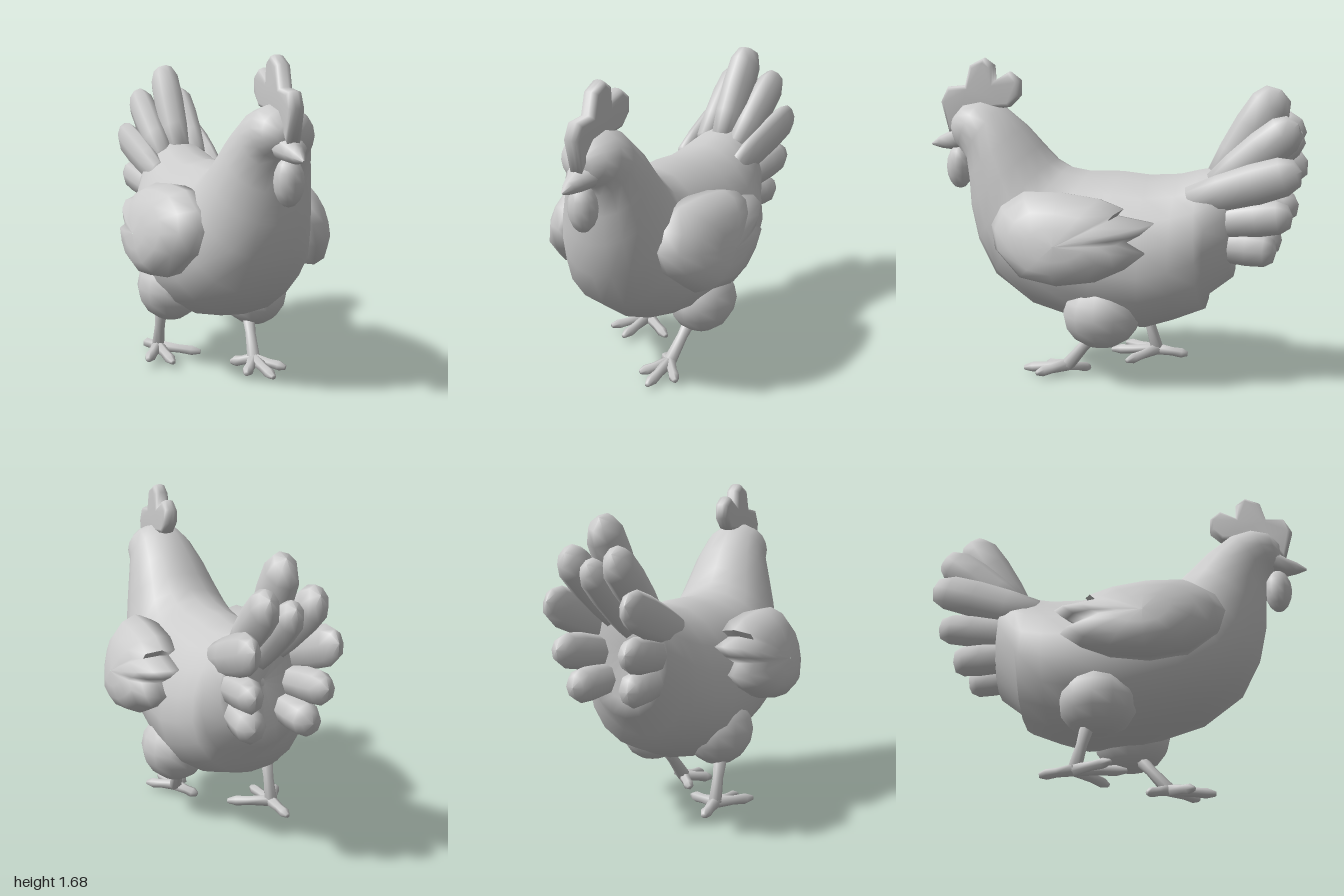
import * as THREE from 'three';
import { mergeVertices } from 'three/addons/utils/BufferGeometryUtils.js';

const V = (x, y, z) => new THREE.Vector3(x, y, z);
const material = new THREE.MeshStandardMaterial({ color: 0xcccccc });

// Smooth skin over a list of closed rings with equal point counts
function skin(rings) {
  const n = rings[0].length, index = [];
  for (let i = 0; i < rings.length - 1; i++) {
    for (let j = 0; j < n; j++) {
      const a = i * n + j, b = i * n + (j + 1) % n;
      index.push(a, a + n, b, b, a + n, b + n);
    }
  }
  const g = new THREE.BufferGeometry().setFromPoints(rings.flat());
  g.setIndex(index);
  g.computeVertexNormals();
  return g;
}

// Oval rings given as [top z, top y, bottom z, bottom y, half width, centre x, low-slung bulge]
function loft(sections, sides = 16) {
  return skin(sections.map(([zt, yt, zb, yb, w, cx, sag = 0]) =>
    Array.from({ length: sides }, (_, j) => {
      const a = j / sides * Math.PI * 2, t = (1 - Math.cos(a)) / 2;
      return V(cx + w * Math.sin(a) * (1 - sag * Math.cos(a)), yt + (yb - yt) * t, zt + (zb - zt) * t);
    })));
}

export function createModel() {
  const hen = new THREE.Group();
  const add = (name, geometry) => {
    const mesh = new THREE.Mesh(geometry, material);
    mesh.name = name;
    hen.add(mesh);
    return mesh;
  };
  const blob = (name, centre, radii) => {
    const mesh = add(name, new THREE.SphereGeometry(1, 12, 8));
    mesh.position.copy(centre);
    mesh.scale.copy(radii);
  };
  // Lathed part running from one point to another; the profile is [radius, fraction of length]
  const limb = (name, from, to, profile, wide, deep, sides = 8) => {
    const dir = to.clone().sub(from), length = dir.length();
    const mesh = add(name, new THREE.LatheGeometry(profile.map(p => new THREE.Vector2(...p)), sides));
    const y = dir.normalize();
    const z = V(1, 0, 0).cross(y).normalize();
    const x = y.clone().cross(z);
    mesh.quaternion.setFromRotationMatrix(new THREE.Matrix4().makeBasis(x, y, z));
    mesh.position.copy(from);
    mesh.scale.set(wide, length, deep);
  };

  // Body, neck and head as one skin, from rump to face
  add('bodyNeckAndHead', loft([
    [-0.63, 0.92, -0.63, 0.88, 0.01, 0],
    [-0.64, 1.16, -0.65, 0.66, 0.17, 0],
    [-0.61, 1.16, -0.645, 0.57, 0.225, 0],
    [-0.54, 1.145, -0.5, 0.455, 0.275, 0, 0.05],
    [-0.46, 1.13, -0.5, 0.39, 0.31, 0, 0.1],
    [-0.36, 1.105, -0.35, 0.33, 0.345, 0, 0.12],
    [-0.2, 1.095, -0.2, 0.28, 0.37, 0, 0.12],
    [-0.05, 1.11, 0.1, 0.29, 0.372, 0, 0.12],
    [0.12, 1.105, 0.42, 0.38, 0.362, 0, 0.1],
    [0.24, 1.125, 0.63, 0.53, 0.33, 0.005, 0.06],
    [0.31, 1.165, 0.73, 0.72, 0.29, 0.015],
    [0.38, 1.24, 0.768, 0.9, 0.255, 0.025],
    [0.47, 1.34, 0.775, 1.05, 0.22, 0.035],
    [0.59, 1.44, 0.785, 1.16, 0.182, 0.045],
    [0.7, 1.47, 0.82, 1.21, 0.165, 0.05],
    [0.8, 1.45, 0.845, 1.24, 0.13, 0.05],
    [0.86, 1.39, 0.86, 1.27, 0.07, 0.05],
    [0.865, 1.34, 0.865, 1.32, 0.01, 0.05],
  ], 18));

  // Comb with rounded lobes
  const combOutline = [[0.88, 1.32], [0.91, 1.46], [0.88, 1.52], [0.78, 1.53], [0.75, 1.64],
    [0.69, 1.67], [0.655, 1.645], [0.645, 1.55], [0.55, 1.6], [0.51, 1.57], [0.51, 1.51],
    [0.56, 1.46], [0.7, 1.44], [0.81, 1.43]];
  let comb = new THREE.ExtrudeGeometry(
    new THREE.Shape(combOutline.map(p => new THREE.Vector2(...p))),
    { depth: 0.024, bevelThickness: 0.028, bevelSize: 0.022, bevelSegments: 2 });
  comb.translate(0, 0, -0.012).rotateY(-Math.PI / 2).translate(0.05, 0, 0);
  comb.deleteAttribute('uv');
  comb.deleteAttribute('normal');
  comb = mergeVertices(comb);
  comb.computeVertexNormals();
  add('comb', comb);

  // Face: beak with wide corners, and wattle
  add('beak', loft([
    [0.78, 1.35, 0.78, 1.22, 0.1, 0.05],
    [0.85, 1.33, 0.84, 1.21, 0.088, 0.05],
    [0.9, 1.3, 0.89, 1.205, 0.055, 0.05],
    [0.95, 1.275, 0.94, 1.21, 0.035, 0.05],
    [1, 1.235, 0.995, 1.225, 0.005, 0.05],
  ], 8));
  blob('wattle', V(0.05, 1.115, 0.84), V(0.075, 0.12, 0.072));

  // Wings: domed shells with a feathered rear edge
  const wingOutline = [[0.53, 0.95], [0.4, 1.03], [0.2, 1.035], [0, 1.01], [-0.13, 0.965], [-0.1, 0.93],
    [-0.29, 0.9], [-0.22, 0.84], [-0.15, 0.8], [-0.25, 0.75], [-0.15, 0.67], [0, 0.6],
    [0.2, 0.57], [0.4, 0.6], [0.55, 0.73], [0.58, 0.85]];
  // [scale about the centre, bulge outward]
  const wingLayers = [[0.01, 0.14], [0.35, 0.135], [0.65, 0.115], [0.88, 0.07], [1, 0], [0.93, -0.09], [0.01, -0.1]];
  for (const s of [-1, 1]) {
    const rings = wingLayers.map(([k, bulge]) => {
      const ring = wingOutline.map(([z, y]) => {
        const py = 0.79 + (y - 0.79) * k, pz = 0.19 + (z - 0.19) * k;
        const sweep = 0.06 * Math.max(0, (pz - 0.19) / 0.39) ** 2;
        return V(s * (0.372 - 0.22 * (py - 0.8) + bulge - sweep), py, pz);
      });
      return s > 0 ? ring.reverse() : ring;
    });
    add(s > 0 ? 'leftWing' : 'rightWing', skin(rings));
  }

  // Tail: a fan of broad rounded feathers, one central column and mirrored pairs
  const feather = [[0, 0], [0.75, 0.03], [0.92, 0.3], [1, 0.6], [0.95, 0.84], [0.65, 0.96], [0, 1]];
  limb('topTailFeather', V(0, 1.06, -0.56), V(0, 1.55, -0.87), feather, 0.085, 0.115);
  limb('middleTailFeather', V(0, 1.0, -0.57), V(0, 1.34, -0.98), feather, 0.07, 0.09);
  const pairs = [
    [V(0.1, 1.05, -0.55), V(0.125, 1.39, -0.97), 0.075, 0.105],
    [V(0.17, 0.98, -0.42), V(0.21, 1.165, -1.0), 0.058, 0.105],
    [V(0.15, 0.87, -0.5), V(0.185, 0.935, -0.96), 0.068, 0.09],
    [V(0.12, 0.76, -0.5), V(0.15, 0.745, -0.88), 0.08, 0.09],
  ];
  for (const [from, to, wide, deep] of pairs) {
    for (const s of [-1, 1]) {
      const m = V(s, 1, 1);
      limb('tailFeather', from.clone().multiply(m), to.clone().multiply(m), feather, wide, deep);
    }
  }

  // Thighs, shanks and toes, caught mid-stride
  const shank = [[0, 0], [1.1, 0], [0.8, 0.5], [1, 1], [0, 1]];
  const toe = [[0, -0.1], [1, 0], [0.75, 0.5], [0.85, 0.8], [0.4, 1], [0, 1]];
  const legs = [
    { side: 'left', thigh: V(0.22, 0.385, 0.015), hip: V(0.18, 0.3, 0.03), ankle: V(0.14, 0.07, 0.22),
      toes: [V(0.26, 0.05, 0.36), V(0.15, 0.04, 0.46), V(0.04, 0.04, 0.36), V(0.05, 0.035, 0.12)] },
    { side: 'right', thigh: V(-0.225, 0.43, -0.08), hip: V(-0.26, 0.32, -0.12), ankle: V(-0.26, 0.07, -0.19),
      toes: [V(-0.38, 0.06, 0.01), V(-0.26, 0.05, 0.07), V(-0.06, 0.05, -0.06), V(-0.28, 0.045, -0.36)] },
  ];
  for (const { side, thigh, hip, ankle, toes } of legs) {
    blob(side + 'Thigh', thigh, V(0.175, 0.18, 0.205));
    limb(side + 'Shank', hip, ankle, shank, 0.036, 0.036);
    for (const tip of toes) limb(side + 'Toe', ankle, tip, toe, 0.035, 0.033, 6);
  }
  return hen;
}
